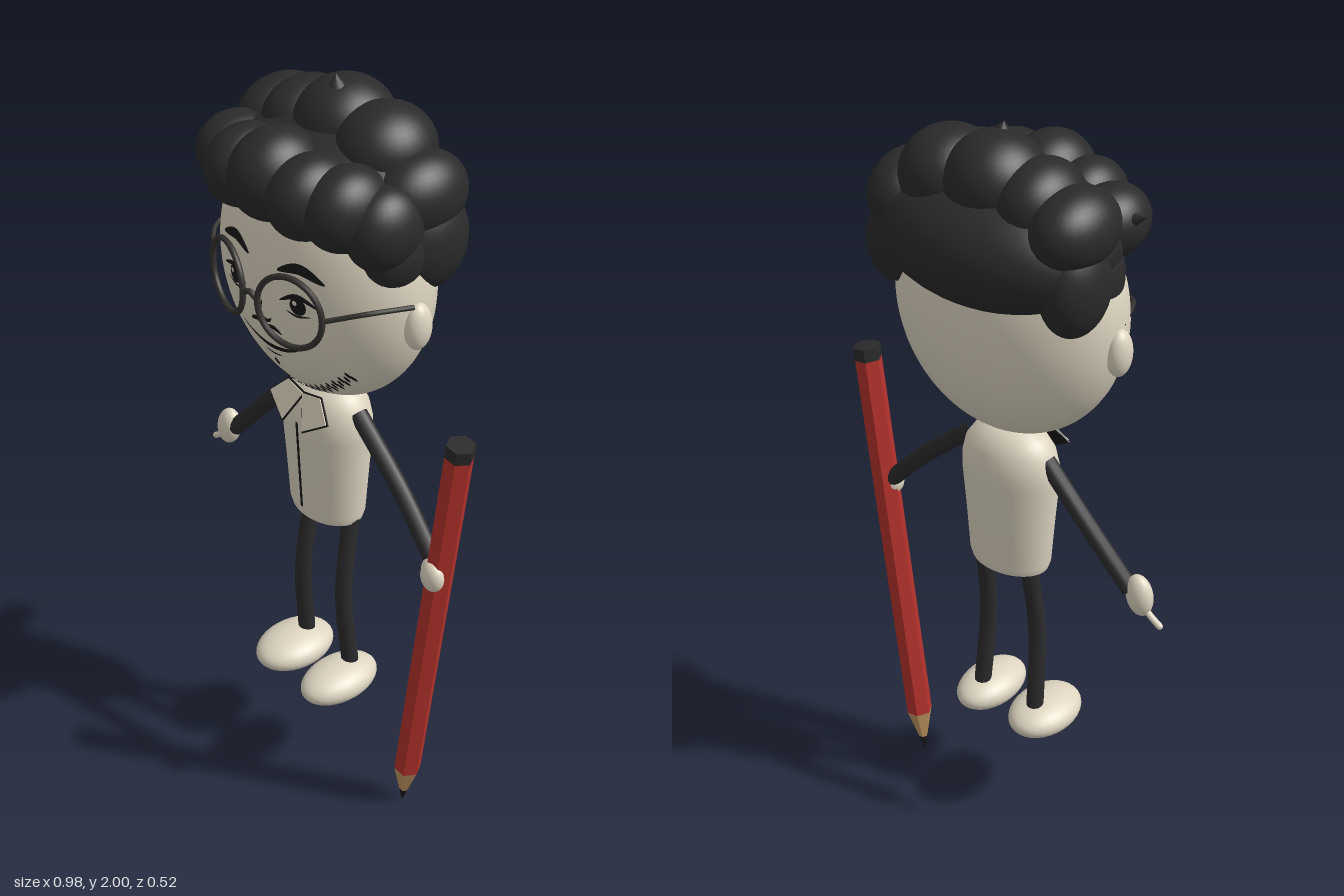
import * as THREE from 'three';
import { mergeGeometries } from 'three/addons/utils/BufferGeometryUtils.js';

const mat = (name, color) => {
  const m = new THREE.MeshStandardMaterial({ color });
  m.name = name;
  return m;
};

export function createModel() {
  const root = new THREE.Group();
  const cream = mat('cream', 0xddd4c0);
  const hairDark = mat('hair charcoal', 0x2a2a2a);
  const limbDark = mat('limb charcoal', 0x2b2b2d);
  const ink = mat('ink', 0x171717);
  const frame = mat('frame grey', 0x34322f);
  const red = mat('pencil red', 0xb5322d);
  const wood = mat('wood', 0xc09560);
  ink.side = THREE.DoubleSide;

  const add = (name, geo, material, parent = root) => {
    const m = new THREE.Mesh(geo, material);
    m.name = name;
    parent.add(m);
    return m;
  };
  const ball = (name, [x, y, z], [rx, ry, rz], material, parent = root) => {
    const m = add(name, new THREE.SphereGeometry(1, 32, 22), material, parent);
    m.position.set(x, y, z);
    m.scale.set(rx, ry, rz);
    return m;
  };
  const tube = (name, pts, r, material, parent = root) => {
    const curve = new THREE.CatmullRomCurve3(pts.map(p => new THREE.Vector3(...p)));
    return add(name, new THREE.TubeGeometry(curve, 24, r, 12), material, parent);
  };

  // Head and ears
  const cx = -0.02, cy = 1.55;
  const head = add('head', new THREE.SphereGeometry(1, 64, 48), cream);
  head.position.set(cx, cy, 0);
  head.scale.set(0.315, 0.34, 0.2);
  for (const s of [-1, 1]) ball('ear', [cx + s * 0.315, 1.51, 0], [0.03, 0.06, 0.036], cream);

  // Surface depth under a point of the face or the shirt
  const faceZ = (x, y) =>
    0.2 * Math.sqrt(Math.max(0, 1 - ((x - cx) / 0.315) ** 2 - ((y - cy) / 0.34) ** 2)) + 0.004;
  const shirtZ = (x, y) => 0.7 * (0.115 + (y - 0.84) * 0.077) - 0.005;

  // Tapered ink stroke laid on a surface
  const stroke = (pts, w, surf = faceZ, taper = true, n = 14) => {
    const curve = new THREE.SplineCurve(pts.map(p => new THREE.Vector2(...p)));
    const pos = [], idx = [];
    for (let i = 0; i <= n; i++) {
      const p = curve.getPoint(i / n), t = curve.getTangent(i / n);
      const h = taper ? w * (0.15 + 0.85 * Math.sin(Math.PI * i / n)) / 2 : w / 2;
      for (const s of [1, -1]) {
        const x = p.x - t.y * h * s, y = p.y + t.x * h * s;
        pos.push(x, y, surf(x, y));
      }
      if (i < n) idx.push(2 * i, 2 * i + 1, 2 * i + 2, 2 * i + 1, 2 * i + 3, 2 * i + 2);
    }
    const g = new THREE.BufferGeometry();
    g.setAttribute('position', new THREE.Float32BufferAttribute(pos, 3));
    g.setIndex(idx);
    g.computeVertexNormals();
    return g;
  };
  const spot = (name, x, y, r, lift, material) => {
    const g = new THREE.CircleGeometry(r, 20).translate(x, y, 0);
    const p = g.attributes.position;
    for (let i = 0; i < p.count; i++) p.setZ(i, faceZ(p.getX(i), p.getY(i)) + lift);
    g.computeVertexNormals();
    add(name, g, material);
  };

  // Eyes, brows and glasses
  const mid = -0.013;
  for (const s of [-1, 1]) {
    const X = d => mid + s * d;
    const y0 = s < 0 ? 1.535 : 1.545;
    spot('pupil', X(0.112), y0, 0.022, 0, ink);
    spot('eyeGlint', X(0.112) - 0.007, y0 + 0.008, 0.006, 0.002, cream);
    add('upperLid', stroke([[X(0.06), y0], [X(0.11), y0 + 0.025], [X(0.165), y0 + 0.008]], 0.013), ink);
    add('lowerLid', stroke([[X(0.08), y0 - 0.02], [X(0.11), y0 - 0.026], [X(0.145), y0 - 0.018]], 0.006), ink);
    add('eyebrow', stroke([[X(0.05), 1.618], [X(0.11), 1.638], [X(0.175), 1.617]], 0.025), ink);
    const rim = add('glassesRim', new THREE.TorusGeometry(0.089, 0.0075, 10, 48), frame);
    rim.position.set(X(0.112), 1.54, 0.213);
    rim.rotation.y = s * 0.27;
    tube('glassesTemple', [[X(0.198), 1.545, 0.188], [X(0.27), 1.572, 0.125], [X(0.315), 1.57, 0.02]], 0.006, frame);
  }
  tube('glassesBridge', [[mid - 0.026, 1.54, 0.234], [mid, 1.555, 0.238], [mid + 0.026, 1.54, 0.234]], 0.007, frame);

  // Nose, moustache, mouth and chin mark
  const lines = [
    stroke([[-0.012, 1.52], [-0.024, 1.475], [0.0, 1.468], [0.015, 1.48]], 0.011),
    stroke([[-0.065, 1.445], [-0.045, 1.455], [-0.02, 1.45]], 0.013),
    stroke([[-0.008, 1.45], [0.018, 1.455], [0.042, 1.445]], 0.013),
    stroke([[-0.115, 1.415], [-0.06, 1.395], [-0.01, 1.388], [0.05, 1.4], [0.098, 1.425]], 0.013),
    stroke([[-0.04, 1.368], [-0.012, 1.364], [0.02, 1.37]], 0.006),
    stroke([[-0.016, 1.345], [-0.015, 1.322]], 0.014),
  ];
  add('faceLines', mergeGeometries(lines), ink);

  // Stubble along the jaw
  const hairs = [];
  for (let i = 0; i <= 60; i++) {
    const u = i / 30 - 1, x = cx + u * 0.21;
    const y = 1.245 + 0.115 * u * u + (i % 3) * 0.009;
    hairs.push(stroke([[x, y + 0.011], [x + u * 0.004, y - 0.011]], 0.008, faceZ, true, 3));
  }
  add('stubble', mergeGeometries(hairs), ink);

  // Curly hair: cap, back, side locks, crown and fringe
  const hair = new THREE.Group();
  hair.name = 'hair';
  root.add(hair);
  const curls = [
    [-0.02, 1.75, -0.02, 0.305, 0.16, 0.2],
    [-0.02, 1.73, -0.085, 0.3, 0.15, 0.178],
    [-0.265, 1.69, -0.08, 0.075, 0.125, 0.1], [0.23, 1.68, -0.08, 0.08, 0.125, 0.11],
    [-0.26, 1.68, 0.0, 0.065, 0.1, 0.08], [0.225, 1.68, 0.02, 0.075, 0.095, 0.085],
    [-0.255, 1.82, -0.07, 0.09, 0.095, 0.125], [0.215, 1.79, -0.07, 0.09, 0.1, 0.125],
    [-0.15, 1.85, -0.055, 0.095, 0.1, 0.12], [-0.03, 1.875, -0.065, 0.12, 0.113, 0.125],
    [0.105, 1.86, -0.065, 0.115, 0.108, 0.125],
    [-0.245, 1.785, 0.08, 0.085, 0.085, 0.105], [-0.145, 1.79, 0.13, 0.085, 0.1, 0.11],
    [-0.03, 1.815, 0.14, 0.1, 0.11, 0.118], [0.085, 1.8, 0.135, 0.085, 0.1, 0.112],
    [0.165, 1.79, 0.1, 0.085, 0.1, 0.11], [0.232, 1.75, 0.05, 0.076, 0.1, 0.1],
  ];
  curls.forEach(c => ball('curl', c.slice(0, 3), c.slice(3), hairDark, hair));
  const tuft = (x, y, z, rz, r, h) => {
    const m = add('tuft', new THREE.ConeGeometry(r, h, 16), hairDark, hair);
    m.position.set(x, y, z);
    m.rotation.z = rz;
  };
  tuft(-0.025, 1.985, -0.035, 0.2, 0.03, 0.035);
  tuft(-0.325, 1.815, 0.065, 1.2, 0.025, 0.055);

  // Shirt body
  const torso = new THREE.Group();
  torso.name = 'torso';
  torso.position.set(-0.03, 0, -0.01);
  torso.scale.z = 0.7;
  root.add(torso);
  const outline = [[0.108, 0.82], [0.115, 0.84], [0.125, 0.97], [0.135, 1.08], [0.134, 1.12],
    [0.124, 1.16], [0.1, 1.195], [0.055, 1.22], [0, 1.225]];
  add('shirt', new THREE.LatheGeometry(outline.map(p => new THREE.Vector2(...p)), 48), cream, torso);
  const hem = add('shirtHem', new THREE.CircleGeometry(0.108, 48), cream, torso);
  hem.position.y = 0.82;
  hem.rotation.x = Math.PI / 2;
  add('placket', stroke([[-0.03, 1.12], [-0.03, 0.855]], 0.009, shirtZ, false), ink);

  // Collar flaps with a dark edge
  const flap = [[0.0, -0.012], [0.038, -0.098], [0.105, -0.05], [0.06, 0.0]];
  const mx = 0.052, my = -0.042;
  for (const s of [-1, 1]) {
    for (const [name, k, z, m] of [['collarEdge', 1.1, 0, ink], ['collar', 1, 0.003, cream]]) {
      const sh = new THREE.Shape(flap.map(([x, y]) =>
        new THREE.Vector2(s * (mx + (x - mx) * k), my + (y - my) * k)));
      const g = new THREE.ExtrudeGeometry(sh, { depth: 0.004, bevelEnabled: false });
      const c = add(name, g.translate(0, 0, z), m);
      c.position.set(-0.03, 1.205, 0.06);
      c.rotation.x = -0.42;
    }
  }

  // Arms and hands
  tube('rightArm', [[-0.14, 1.15, -0.01], [-0.26, 1.025, -0.01], [-0.395, 0.875, 0]], 0.023, limbDark);
  tube('leftArm', [[0.085, 1.16, -0.01], [0.25, 1.02, -0.005], [0.385, 0.885, 0.005]], 0.023, limbDark);
  ball('rightHand', [-0.42, 0.868, 0.003], [0.036, 0.056, 0.029], cream).rotation.z = -0.2;
  tube('pointingFinger', [[-0.43, 0.845, 0.002], [-0.455, 0.822, 0.002], [-0.483, 0.803, 0.002]], 0.0085, cream);
  ball('fingerTip', [-0.483, 0.803, 0.002], [0.0085, 0.0085, 0.0085], cream);
  ball('leftPalm', [0.385, 0.873, 0.012], [0.026, 0.036, 0.03], cream);
  ball('leftGrip', [0.403, 0.865, 0.03], [0.034, 0.04, 0.024], cream);

  // Legs and feet
  for (const [hip, ankle, foot, w] of [[-0.087, -0.105, -0.107, 0.085], [0.058, 0.075, 0.077, 0.076]]) {
    tube('leg', [[hip, 0.85, -0.015], [(hip + ankle) / 2, 0.6, 0.018], [ankle, 0.34, 0]], 0.023, limbDark);
    ball('foot', [foot, 0.325, 0.043], [w, 0.05, 0.118], cream);
  }

  // Large hexagonal pencil standing on its point
  const pencil = new THREE.Group();
  pencil.name = 'pencil';
  pencil.position.set(0.29, 0.005, 0);
  pencil.rotation.z = -0.1263;
  root.add(pencil);
  const hex = (name, y0, y1, r0, r1, m) => {
    const g = new THREE.CylinderGeometry(r1, r0, y1 - y0, 6).rotateY(Math.PI / 2).toNonIndexed();
    g.computeVertexNormals();
    add(name, g.translate(0, (y0 + y1) / 2, 0), m, pencil);
  };
  hex('pencilLead', 0, 0.045, 0.001, 0.0125, ink);
  hex('pencilWood', 0.045, 0.135, 0.0125, 0.036, wood);
  hex('pencilShaft', 0.135, 1.235, 0.036, 0.036, red);
  hex('pencilCap', 1.235, 1.27, 0.0365, 0.0365, hairDark);

  return root;
}
